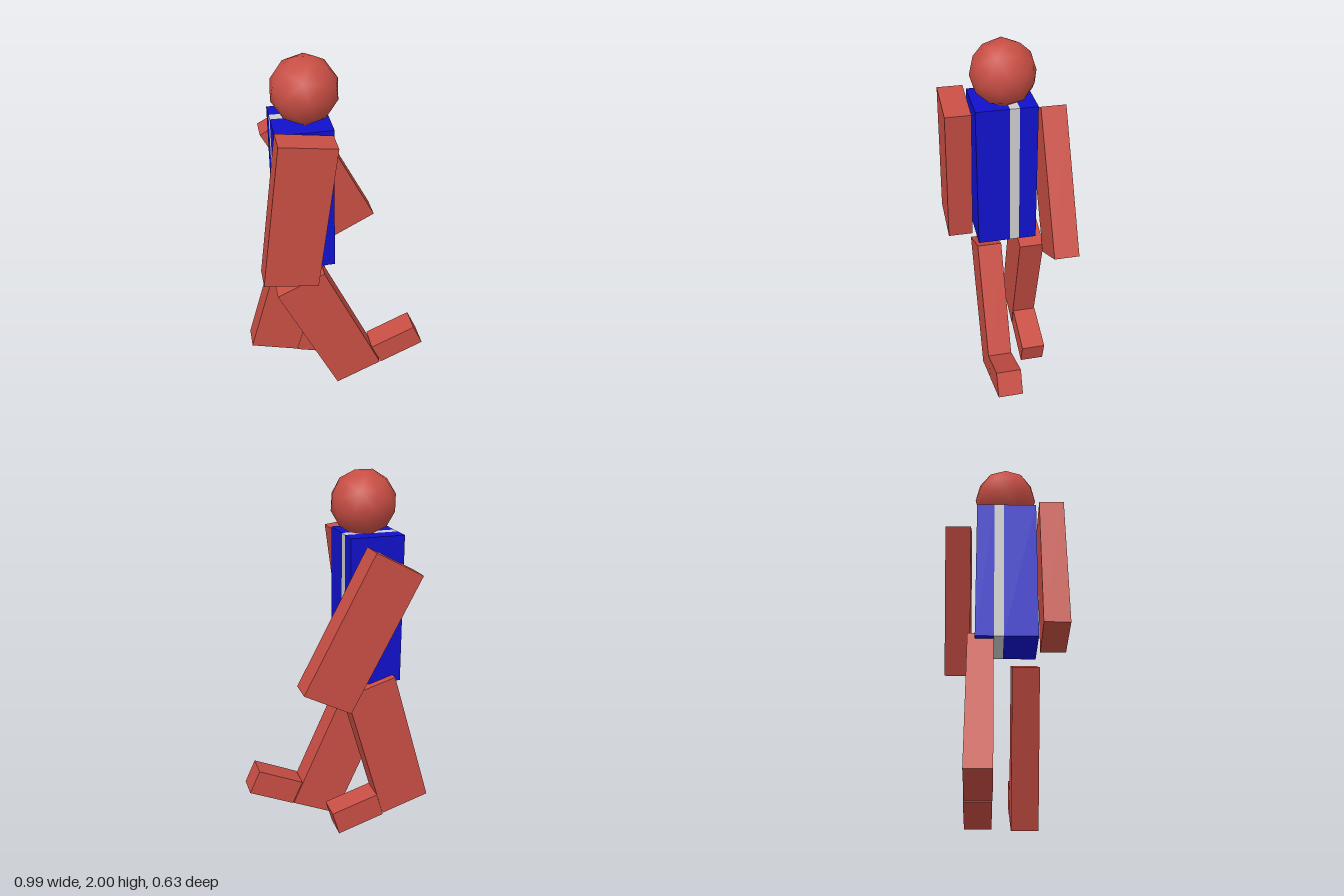
import * as THREE from 'three';

export function createModel() {
  const model = new THREE.Group();
  const skin = new THREE.MeshStandardMaterial({ color: 0xc84e44 });
  const blue = new THREE.MeshStandardMaterial({ color: 0x1111cc });
  const grey = new THREE.MeshStandardMaterial({ color: 0xcccccc });

  // Box of given size, centred at a position and swung about z (degrees)
  function block(name, material, size, position, degrees = 0) {
    const mesh = new THREE.Mesh(new THREE.BoxGeometry(...size), material);
    mesh.name = name;
    mesh.position.set(...position);
    mesh.rotation.z = THREE.MathUtils.degToRad(degrees);
    model.add(mesh);
  }

  // Head: smooth-shaded low-poly ball
  const head = new THREE.Mesh(new THREE.IcosahedronGeometry(0.17, 1), skin);
  head.name = 'head';
  head.position.set(-0.146, 1.837, 0.002);
  head.rotation.z = 0.28;
  model.add(head);

  // Torso: two jacket halves with a shirt strip between them
  const torso = [
    ['jacketFrontHalf', blue, 0.165, -0.01],
    ['shirtStrip', grey, -0.01, -0.06],
    ['jacketBackHalf', blue, -0.06, -0.155],
  ];
  for (const [name, material, z1, z0] of torso) {
    block(name, material, [0.285, 0.79, z1 - z0], [-0.172, 1.295, (z0 + z1) / 2]);
  }

  // Arms and legs in mid-stride
  const limb = [0.282, 0.79, 0.134];
  block('frontArm', skin, limb, [-0.23, 1.3, 0.249], -7.6);
  block('backArm', skin, limb, [-0.043, 1.236, -0.252], 28);
  block('frontLeg', skin, limb, [-0.048, 0.42, 0.097], 24.7);
  block('backLeg', skin, limb, [-0.245, 0.518, -0.127], -16.1);

  // Feet
  const foot = [0.272, 0.14, 0.135];
  block('frontFoot', skin, foot, [0.345, 0.241, 0.097], 24.7);
  block('backFoot', skin, foot, [-0.069, 0.123, -0.13], -16.1);

  return model;
}
